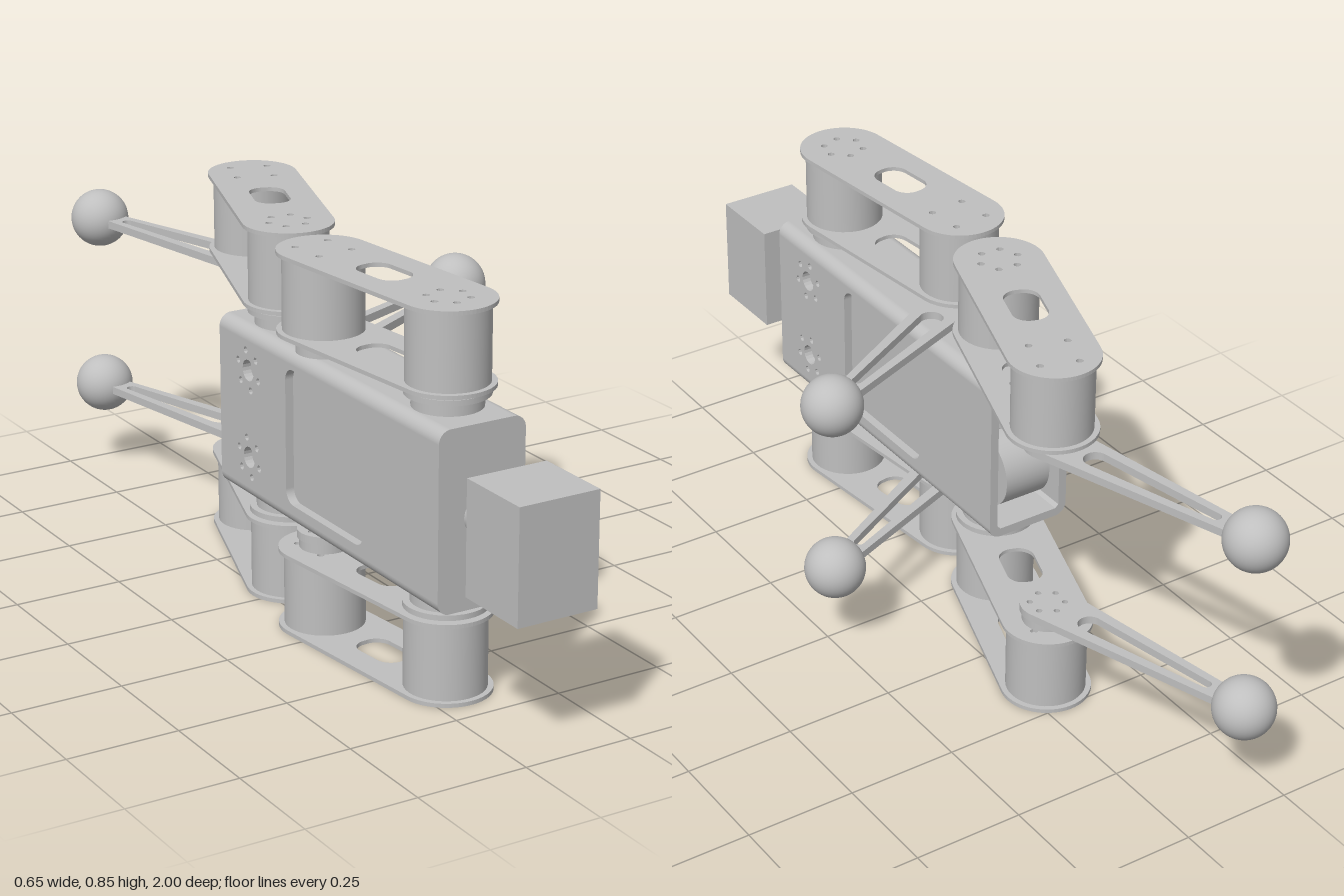
import * as THREE from 'three';

const grey = new THREE.MeshStandardMaterial({ color: 0xbfbfbf });
grey.name = 'plain grey';

const BX = -0.1825, BY = 0.4235; // body axis; the upper and lower legs mirror about BY

function add(parent, name, geometry, x = 0, y = 0, z = 0) {
  const m = new THREE.Mesh(geometry, grey);
  m.name = name;
  m.position.set(x, y, z);
  parent.add(m);
  return m;
}

function hole(shape, x, y, r, segs = 10) {
  const pts = [];
  for (let i = 0; i < segs; i++) {
    const a = -i / segs * Math.PI * 2;
    pts.push(new THREE.Vector2(x + r * Math.cos(a), y + r * Math.sin(a)));
  }
  shape.holes.push(new THREE.Path(pts));
}

function boltCircle(shape, x, y, R, r) {
  for (let i = 0; i < 6; i++) {
    const a = i * Math.PI / 3 + 0.3;
    hole(shape, x + R * Math.cos(a), y + R * Math.sin(a), r);
  }
}

// Tapered bar with round ends, lying along +x from xa to xb
function bar(path, xa, ra, xb, rb) {
  const t = Math.acos((ra - rb) / (xb - xa));
  path.absarc(xa, 0, ra, t, Math.PI * 2 - t, false);
  path.absarc(xb, 0, rb, -t, t, false);
  path.closePath();
  return path;
}

function roundedRect(path, x0, y0, x1, y1, r) {
  path.absarc(x1 - r, y1 - r, r, 0, Math.PI / 2, false);
  path.absarc(x0 + r, y1 - r, r, Math.PI / 2, Math.PI, false);
  path.absarc(x0 + r, y0 + r, r, Math.PI, Math.PI * 1.5, false);
  path.absarc(x1 - r, y0 + r, r, Math.PI * 1.5, Math.PI * 2, false);
  path.closePath();
  return path;
}

const extrude = (shape, depth) =>
  new THREE.ExtrudeGeometry(shape, { depth, bevelEnabled: false, curveSegments: 16 });

// Flat plate in the ground plane, centred on its own thickness
const flat = (shape, t) => extrude(shape, t).translate(0, 0, -t / 2).rotateX(Math.PI / 2);

function thighShape(L) {
  const s = bar(new THREE.Shape(), 0, 0.1, L, 0.1);
  s.holes.push(roundedRect(new THREE.Path(), L / 2 - 0.066, -0.04, L / 2 + 0.066, 0.04, 0.035));
  boltCircle(s, 0, 0, 0.045, 0.008);
  for (const i of [-1, 1]) for (const j of [-1, 1]) hole(s, L + i * 0.042, j * 0.042, 0.008);
  return s;
}

function shinShape(L) {
  const s = bar(new THREE.Shape(), 0, 0.06, L - 0.04, 0.026);
  s.holes.push(bar(new THREE.Path(), 0.12, 0.027, L - 0.1, 0.012));
  boltCircle(s, 0, 0, 0.038, 0.007);
  return s;
}

function makeLeg(name, sign, hip, knee, foot) {
  const leg = new THREE.Group();
  leg.name = name;
  const h = (y) => BY + sign * (y - BY);
  const disc = (label, p, r, y0, y1) =>
    add(leg, label, new THREE.CylinderGeometry(r, r, y1 - y0, 40), p[0], h((y0 + y1) / 2), p[1]);
  const along = (mesh, a, b) => { mesh.rotation.y = -Math.atan2(b[1] - a[1], b[0] - a[0]); };
  const dist = (a, b) => Math.hypot(b[0] - a[0], b[1] - a[1]);

  // Hip bearing stack and the two motors held between the thigh plates
  disc('hipHub', hip, 0.075, 0.615, 0.647);
  disc('hipFlange', hip, 0.09, 0.647, 0.659);
  disc('hipSpacer', hip, 0.06, 0.659, 0.664);
  disc('hipMotor', hip, 0.088, 0.672, 0.838);
  disc('kneeMotor', knee, 0.088, 0.672, 0.838);
  for (const y of [0.668, 0.842]) {
    along(add(leg, 'thighPlate', flat(thighShape(dist(hip, knee)), 0.009), hip[0], h(y), hip[1]), hip, knee);
  }
  // Shin with its hub and ball foot
  disc('kneeHub', knee, 0.055, 0.641, 0.664);
  along(add(leg, 'shin', flat(shinShape(dist(knee, foot)), 0.018), knee[0], h(0.632), knee[1]), knee, foot);
  add(leg, 'ballFoot', new THREE.SphereGeometry(0.068, 40, 28), foot[0], h(0.632), foot[1]);
  return leg;
}

// Side wall with window and bolt patterns; motorZ is where the side's motors bolt on
function sidePlate(motorZ) {
  const s = new THREE.Shape([[-0.73, 0.255], [0.155, 0.255], [0.155, 0.592], [-0.73, 0.592]]
    .map((p) => new THREE.Vector2(...p)));
  s.holes.push(roundedRect(new THREE.Path(), -0.445, 0.275, -0.13, 0.58, 0.03));
  for (const y of [0.325, 0.525]) {
    hole(s, -motorZ, y, 0.024, 20);
    boltCircle(s, -motorZ, y, 0.045, 0.008);
  }
  return extrude(s, 0.02).translate(0, 0, -0.01).rotateY(Math.PI / 2);
}

// Channel closing the top or bottom of the body, with rounded outer corners
function channel() {
  const w = 0.1025, r = 0.028, t = 0.02;
  const s = new THREE.Shape();
  s.moveTo(w, 0);
  s.absarc(w - r, 0, r, 0, Math.PI / 2, false);
  s.absarc(-w + r, 0, r, Math.PI / 2, Math.PI, false);
  s.lineTo(-w + t, 0);
  s.lineTo(-w + r, r - t);
  s.lineTo(w - r, r - t);
  s.lineTo(w - t, 0);
  s.closePath();
  return extrude(s, 0.885).translate(0, 0, -0.4425);
}

export function createModel() {
  const model = new THREE.Group();
  model.name = 'fourLeggedRobot';

  // Body shell, open at the back
  const body = new THREE.Group();
  body.name = 'body';
  model.add(body);
  for (const [side, z, mx] of [[1, 0.605, 0.025], [-1, -0.03, -0.025]]) {
    add(body, 'sidePlate', sidePlate(z), BX + side * 0.0925, 0, 0);
    add(body, 'windowPanel', new THREE.BoxGeometry(0.008, 0.32, 0.33), BX + side * 0.079, 0.4275, 0.2875);
    for (const y of [0.325, 0.525]) {
      add(body, 'bodyMotor', new THREE.CylinderGeometry(0.088, 0.088, 0.115, 40).rotateZ(Math.PI / 2), BX + mx, y, z);
    }
  }
  add(body, 'topChannel', channel(), BX, 0.592, 0.2875);
  add(body, 'bottomChannel', channel(), BX, 0.255, 0.2875).rotation.z = Math.PI;
  const front = roundedRect(new THREE.Shape(), -0.1025, -0.1965, 0.1025, 0.1965, 0.028);
  add(body, 'frontPlate', extrude(front, 0.02), BX, BY, 0.711);

  // Neck and box head
  add(model, 'neck', new THREE.CylinderGeometry(0.042, 0.042, 0.1, 32).rotateX(Math.PI / 2), BX, 0.425, 0.775);
  add(model, 'head', new THREE.BoxGeometry(0.187, 0.25, 0.182), BX, 0.425, 0.909);

  // Front and rear legs on both sides of the body
  for (const [label, sign] of [['upper', 1], ['lower', -1]]) {
    model.add(makeLeg(label + 'FrontLeg', sign, [-0.183, 0.604], [-0.225, 0.19], [0.253, -0.042]));
    model.add(makeLeg(label + 'RearLeg', sign, [-0.183, -0.028], [-0.053, -0.415], [-0.183, -0.932]));
  }
  return model;
}
